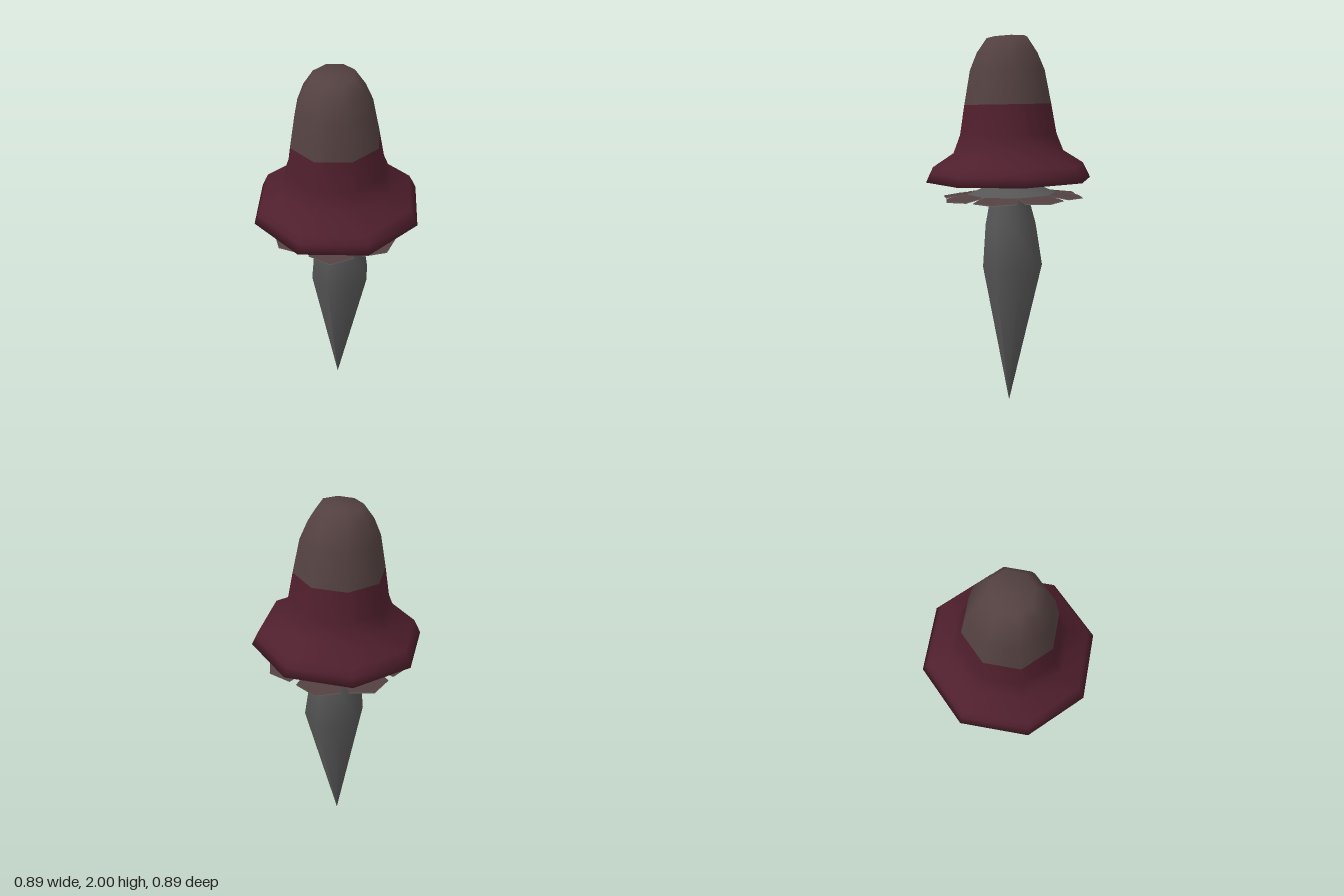
import * as THREE from 'three';

const SIDES = 8;
const material = (name, color, side = THREE.FrontSide) => {
  const m = new THREE.MeshStandardMaterial({ color, side });
  m.name = name;
  return m;
};

// Eight-sided smooth surface turned from [radius, height] points, bottom to top
function turned(name, points, mat, phase = 0) {
  const profile = points.map(([r, y]) => new THREE.Vector2(r, y));
  const mesh = new THREE.Mesh(new THREE.LatheGeometry(profile, SIDES, phase), mat);
  mesh.name = name;
  return mesh;
}

// Blunt pointed petals around the edge of the skirt, facing up or down
function petalRing(name, mat, faceUp) {
  const pos = [], index = [];
  const step = (Math.PI * 2) / SIDES;
  const drop = faceUp ? 0 : 0.004;
  const corners = [
    [0.24, 1.178, -0.5], [0.352, 1.163, -0.42], [0.388, 1.16, 0],
    [0.352, 1.163, 0.42], [0.24, 1.178, 0.5],
  ];
  for (let i = 0; i < SIDES; i++) {
    const base = pos.length / 3;
    for (const [r, y, t] of corners) {
      const a = (i + 0.5 + t) * step;
      pos.push(r * Math.sin(a), y - drop, r * Math.cos(a));
    }
    for (let k = 1; k < 4; k++) {
      if (faceUp) index.push(base, base + k, base + k + 1);
      else index.push(base, base + k + 1, base + k);
    }
  }
  const g = new THREE.BufferGeometry();
  g.setAttribute('position', new THREE.Float32BufferAttribute(pos, 3));
  g.setIndex(index);
  g.computeVertexNormals();
  const mesh = new THREE.Mesh(g, mat);
  mesh.name = name;
  return mesh;
}

export function createModel() {
  const model = new THREE.Group();
  model.name = 'mushroom';
  const red = material('wine red', 0x4f1f2d);
  const brown = material('dull brown', 0x534140);
  const grey = material('stem grey', 0x565656, THREE.DoubleSide);

  // Stem: a tapering spindle that bows slightly backwards
  const stem = turned('stem', [
    [0, 0], [0.163, 0.78], [0.137, 1.01], [0.1, 1.17], [0.085, 1.31],
  ], grey, 0.05);
  const p = stem.geometry.attributes.position;
  for (let i = 0; i < p.count; i++) {
    const y = p.getY(i);
    const bow = y < 0.78 ? y / 0.78 : Math.max(0, (1.2 - y) / 0.42);
    p.setZ(i, p.getZ(i) - 0.025 * bow);
  }
  stem.position.x = 0.004;
  model.add(stem);

  // Skirt: a sloping collar with petals, dipping a little to the front
  const skirt = new THREE.Group();
  skirt.name = 'skirt';
  skirt.add(
    turned('skirtCollar', [[0.24, 1.178], [0.16, 1.212], [0.08, 1.255]], grey),
    petalRing('petalTops', brown, true),
    petalRing('petalUndersides', grey, false),
  );
  skirt.rotation.set(0.03, 0, 0.01);
  skirt.position.set(0.008, -0.002, -0.048);
  model.add(skirt);

  // Cap: a flared bell with a brown crown, tilted about its brim
  const cap = new THREE.Group();
  cap.name = 'cap';
  cap.add(turned('capBrim', [
    [0, 0.08], [0.2, 0.06], [0.4, 0.012], [0.446, 0], [0.425, 0.045],
    [0.407, 0.08], [0.297, 0.15], [0.26, 0.243], [0.233, 0.4],
  ], red, 0.05));
  const crown = turned('capCrown', [
    [0.233, 0.4], [0.199, 0.577], [0.161, 0.666], [0.107, 0.744], [0, 0.744],
  ], brown, 0.05);
  // The flat top leans a little further forward than the brim
  const c = crown.geometry.attributes.position;
  for (let i = 0; i < c.count; i++) {
    if (c.getY(i) > 0.7) c.setY(i, c.getY(i) - 0.05 * c.getZ(i));
  }
  cap.add(crown);
  cap.position.y = 1.248;
  cap.rotation.set(0.03, 0, 0.01);
  model.add(cap);

  return model;
}
